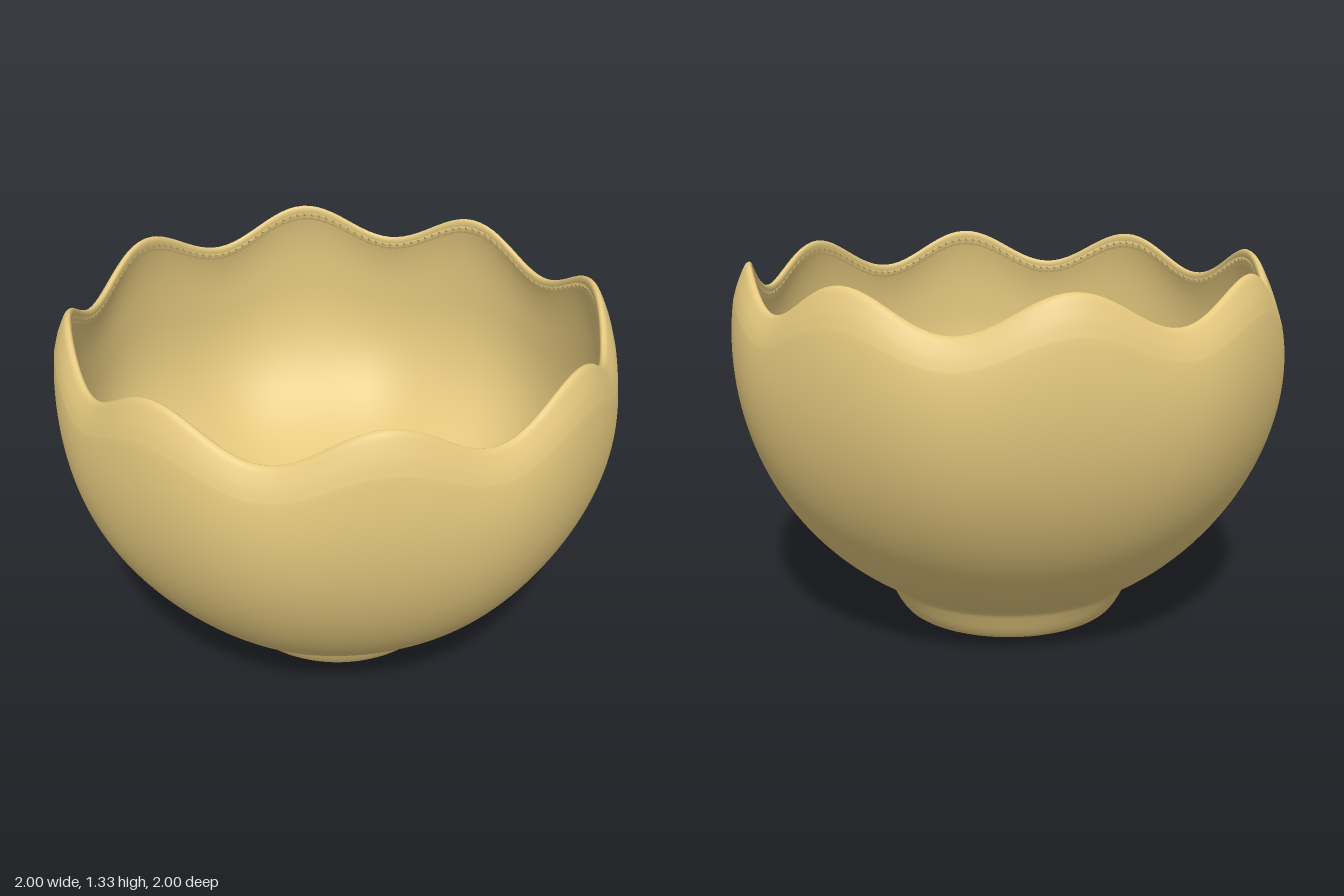
import * as THREE from 'three';
import { mergeVertices } from 'three/addons/utils/BufferGeometryUtils.js';

const RIM = 1.33;      // height of the wave crests
const DIP = 0.13;      // depth of the wave troughs
const WAVES = 8;
const MID = 1.03;      // height of the widest ring
const FLOOR = 0.28;    // height of the inner floor

const v = (x, y) => new THREE.Vector2(x, y);
const spline = (pts, n) => new THREE.SplineCurve(pts).getPoints(n);

// Foot and outer wall, from the middle of the base up to the crest of the lip
function outerProfile() {
  const pts = [v(0, 0), v(0.37, 0)];
  // flared foot with a rounded bottom edge
  pts.push(...spline([
    v(0.388, 0.001), v(0.409, 0.012), v(0.432, 0.045), v(0.455, 0.09), v(0.473, 0.122), v(0.498, 0.146),
  ], 20));
  // elliptical wall
  for (let i = 1; i <= 36; i++) {
    const y = 0.146 + (1.2 - 0.146) * i / 36;
    pts.push(v(Math.sqrt(1 - ((y - MID) / 1.02) ** 2), y));
  }
  // wall rolling in towards the lip
  pts.push(...spline([
    v(0.986, 1.2), v(0.971, 1.25), v(0.952, 1.295), v(0.938, 1.321), v(0.925, RIM),
  ], 16).slice(1));
  return pts;
}

// From inside the lip down to the middle of the flattened floor
function innerProfile() {
  const pts = spline([v(0.925, RIM), v(0.917, 1.324), v(0.915, 1.305), v(0.922, 1.27)], 8).slice(1);
  const start = Math.asin(0.21 / (MID - FLOOR));
  for (let i = 0; i <= 48; i++) {
    const a = start - (start + Math.PI / 2) * i / 48;
    const s = Math.sin(a);
    const x = i === 48 ? 0 : 0.945 * Math.cos(a) ** 0.8;
    pts.push(v(x, MID + (MID - FLOOR) * Math.sign(s) * Math.abs(s) ** 0.8));
  }
  return pts;
}

export function createModel() {
  const group = new THREE.Group();
  const outer = outerProfile();
  const profile = [...outer, ...innerProfile()];
  let geo = new THREE.LatheGeometry(profile, 192);

  // Pull the walls down in waves that fade out towards the foot and the floor
  const pos = geo.attributes.position;
  for (let i = 0; i < pos.count; i++) {
    const y = pos.getY(i);
    const angle = Math.atan2(pos.getX(i), pos.getZ(i));
    const wave = 0.5 + 0.5 * Math.cos(WAVES * angle);
    const weight = i % profile.length < outer.length
      ? Math.max(0, y / RIM) ** 2.5
      : (y - FLOOR) / (RIM - FLOOR);
    pos.setY(i, y - DIP * wave * weight);
  }

  // Weld the seam so the shading is smooth all round
  geo.deleteAttribute('normal');
  geo.deleteAttribute('uv');
  geo = mergeVertices(geo, 1e-5);
  geo.computeVertexNormals();

  const bowl = new THREE.Mesh(geo, new THREE.MeshStandardMaterial({ color: 0xe4c87e }));
  bowl.name = 'wavyRimBowl';
  group.add(bowl);
  return group;
}
